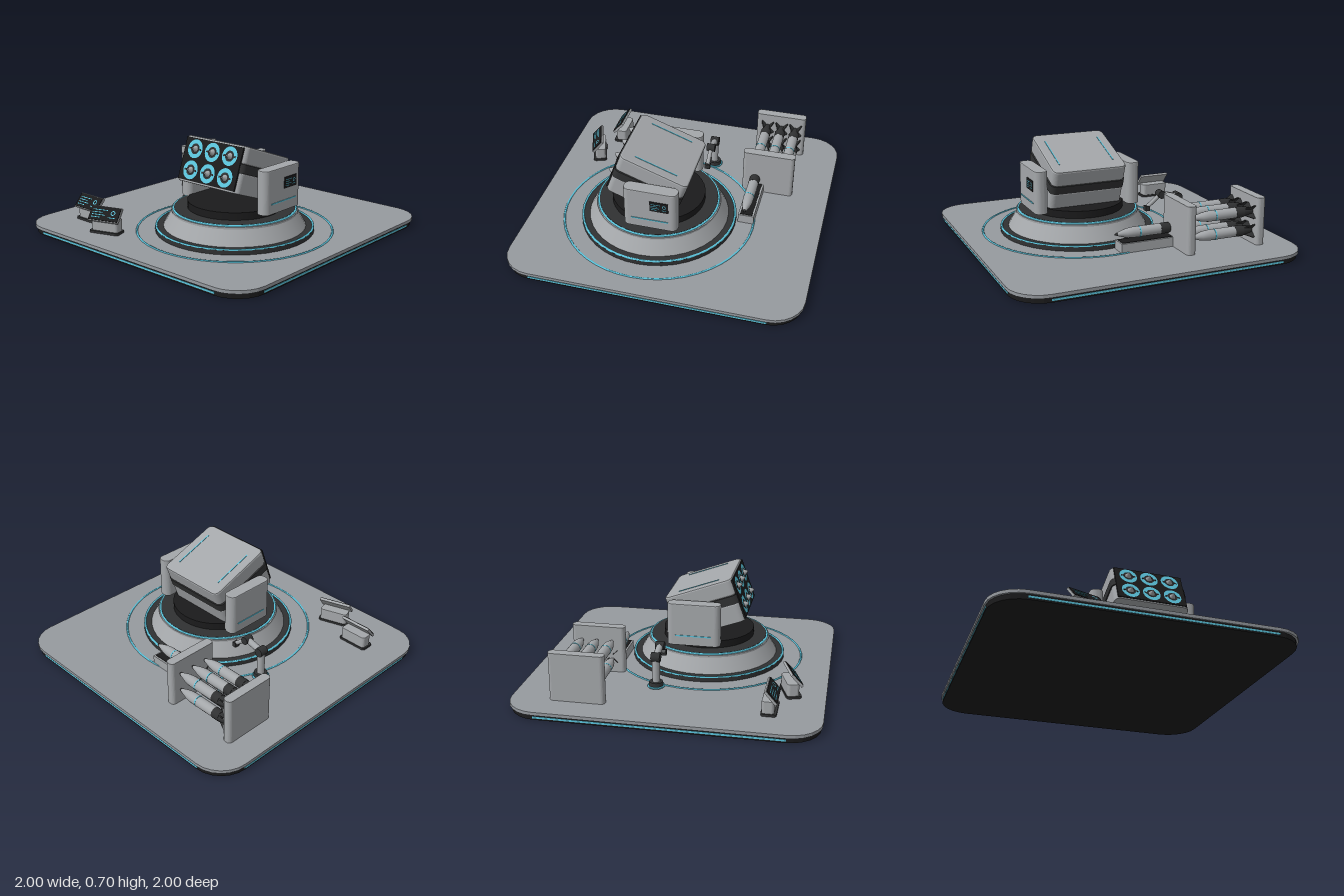
import * as THREE from 'three';

const mat = (name, color) => {
  const m = new THREE.MeshStandardMaterial({ color });
  m.name = name;
  return m;
};

export function createModel() {
  const deck = mat('deckGrey', 0x969a9f), grey = mat('lightGrey', 0xa4a7aa);
  const dark = mat('darkGrey', 0x303132), black = mat('black', 0x1b1b1c);
  const cyan = mat('cyan', 0x5cc6de);
  const root = new THREE.Group();
  root.name = 'launcherPlatform';

  const add = (parent, name, geo, material, x = 0, y = 0, z = 0) => {
    const m = new THREE.Mesh(geo, material);
    m.name = name;
    m.position.set(x, y, z);
    parent.add(m);
    return m;
  };
  const group = (parent, name, x = 0, y = 0, z = 0) => {
    const g = new THREE.Group();
    g.name = name;
    g.position.set(x, y, z);
    parent.add(g);
    return g;
  };
  const box = (w, h, d) => new THREE.BoxGeometry(w, h, d);
  const cyl = (rt, rb, h, n = 40) => new THREE.CylinderGeometry(rt, rb, h, n);

  // Slab with rounded plan corners, standing on y = 0
  const slab = (w, h, d, r, bevel = 0, seg = 3) => {
    const s = new THREE.Shape(), a = w / 2 - r, b = d / 2 - r;
    s.absarc(a, b, r, 0, Math.PI / 2);
    s.absarc(-a, b, r, Math.PI / 2, Math.PI);
    s.absarc(-a, -b, r, Math.PI, Math.PI * 1.5);
    s.absarc(a, -b, r, Math.PI * 1.5, Math.PI * 2);
    const g = new THREE.ExtrudeGeometry(s, {
      depth: h - 2 * bevel, curveSegments: seg, bevelEnabled: bevel > 0,
      bevelSize: bevel, bevelThickness: bevel, bevelOffset: -bevel, bevelSegments: 2,
    });
    return g.translate(0, 0, bevel).rotateX(-Math.PI / 2);
  };
  const flatRing = (radius, tube) => new THREE.TorusGeometry(radius, tube, 6, 48).rotateX(Math.PI / 2);

  // Cylinder strut between two points
  const strut = (parent, name, a, b, r, material) => {
    const p = new THREE.Vector3(...a), q = new THREE.Vector3(...b), dir = q.clone().sub(p);
    const m = add(parent, name, cyl(r, r, dir.length(), 14), material);
    m.position.copy(p).add(q).multiplyScalar(0.5);
    m.quaternion.setFromUnitVectors(new THREE.Vector3(0, 1, 0), dir.normalize());
  };

  // Display facing +z with a few readout marks
  const display = (parent, w, h, x, y, z) => {
    const g = group(parent, 'display', x, y, z);
    add(g, 'displayPanel', box(w, h, 0.006), black);
    [0.5, 0.35, 0.45, 0.3].forEach((len, i) =>
      add(g, 'readoutLine', box(w * len, h * 0.05, 0.002), cyan,
        w * (-0.42 + len / 2), h * (0.25 - i * 0.18), 0.004));
    add(g, 'readoutDial', new THREE.RingGeometry(h * 0.11, h * 0.17, 16), cyan, w * 0.28, h * 0.1, 0.004);
    add(g, 'readoutBar', box(w * 0.25, h * 0.05, 0.002), cyan, w * 0.28, -h * 0.25, 0.004);
    return g;
  };

  // Ground platform
  add(root, 'platformBase', slab(1.98, 0.035, 1.98, 0.21), black);
  add(root, 'platformDeck', slab(2, 0.022, 2, 0.21), deck, 0, 0.034, 0);
  for (let i = 0; i < 4; i++) {
    const side = group(root, 'platformSide');
    side.rotation.y = i * Math.PI / 2;
    add(side, 'platformStripe', box(1.58, 0.012, 0.008), cyan, 0, 0.017, 0.989);
  }

  // Round turret base
  const turret = group(root, 'turret', 0.19, 0, 0.125);
  add(turret, 'deckRing', flatRing(0.664, 0.007), cyan, 0, 0.056, 0);
  add(turret, 'lowerDisc', cyl(0.54, 0.54, 0.032), dark, 0, 0.071, 0);
  add(turret, 'lowerRing', flatRing(0.532, 0.008), cyan, 0, 0.086, 0);
  add(turret, 'turretSkirt', cyl(0.425, 0.485, 0.105), grey, 0, 0.138, 0);
  add(turret, 'skirtLip', cyl(0.43, 0.43, 0.014), grey, 0, 0.194, 0);
  add(turret, 'upperDisc', cyl(0.41, 0.41, 0.014), dark, 0, 0.205, 0);
  add(turret, 'upperRing', flatRing(0.415, 0.008), cyan, 0, 0.205, 0);
  add(turret, 'turntable', cyl(0.32, 0.32, 0.055), black, 0, 0.235, 0);

  // Side arms with light strips
  for (const s of [-1, 1]) {
    const arm = group(turret, s > 0 ? 'leftArm' : 'rightArm', s * 0.335, 0.245, -0.047);
    add(arm, 'armBody', slab(0.092, 0.295, 0.365, 0.04, 0.006, 5), grey);
    add(arm, 'armStrip', box(0.006, 0.008, 0.25), cyan, s * 0.047, 0.07, 0);
    if (s > 0) display(arm, 0.125, 0.075, 0.048, 0.188, -0.065).rotation.y = Math.PI / 2;
  }
  add(turret, 'tiltAxle', cyl(0.06, 0.06, 0.62, 24).rotateZ(Math.PI / 2), dark, 0, 0.44, 0);

  // Tilted launcher pod
  const pod = group(turret, 'launcherPod', 0, 0.471, 0.01);
  pod.rotation.x = -20 * Math.PI / 180;
  add(pod, 'lowerShell', slab(0.53, 0.136, 0.488, 0.04, 0.008, 5), grey, 0, -0.155, 0);
  add(pod, 'podBand', slab(0.54, 0.06, 0.494, 0.042, 0, 5), dark, 0, -0.02, 0);
  add(pod, 'upperShell', slab(0.53, 0.116, 0.488, 0.04, 0.012, 5), grey, 0, 0.039, 0);
  add(pod, 'frontPanel', box(0.49, 0.285, 0.02), black, 0, 0, 0.24);
  for (const s of [-1, 1])
    add(pod, 'topStripe', box(0.008, 0.006, 0.3), cyan, s * 0.195, 0.155, 0);
  for (const x of [-0.15, 0, 0.15]) for (const y of [-0.071, 0.071]) {
    const tube = group(pod, 'launchTube', x, y, 0.25);
    add(tube, 'tubeRim', new THREE.RingGeometry(0.036, 0.063, 28), cyan, 0, 0, 0.003);
    add(tube, 'tubeMouth', new THREE.CircleGeometry(0.037, 24), dark, 0, 0, 0.002);
    add(tube, 'warheadTip', cyl(0.006, 0.024, 0.03, 16).rotateX(Math.PI / 2), grey, 0, 0, 0.016);
    for (const s of [-1, 1]) add(tube, 'rimNotch', box(0.018, 0.012, 0.004), dark, s * 0.042, 0, 0.003);
  }

  // Missile pointing along +x, origin at the tail
  const bodyProfile = [[0.036, 0.13], [0.036, 0.34], [0.03, 0.385], [0.012, 0.445]];
  const finShape = new THREE.Shape([[0, 0.02], [0, 0.062], [0.018, 0.062], [0.07, 0.034], [0.07, 0.02]]
    .map(p => new THREE.Vector2(...p)));
  const missile = (parent, x, y, z) => {
    const g = group(parent, 'missile', x, y, z);
    const along = geo => geo.rotateZ(-Math.PI / 2);
    add(g, 'missileBody', along(new THREE.LatheGeometry(bodyProfile.map(p => new THREE.Vector2(...p)), 18)), grey);
    add(g, 'missileTail', along(cyl(0.037, 0.037, 0.06, 18)), dark, 0.11, 0, 0);
    add(g, 'missileNozzle', along(cyl(0.035, 0.022, 0.07, 18)), dark, 0.045, 0, 0);
    add(g, 'missileBand', along(cyl(0.0375, 0.0375, 0.008, 18)), cyan, 0.29, 0, 0);
    add(g, 'missileTip', along(cyl(0.004, 0.012, 0.02, 12)), dark, 0.455, 0, 0);
    for (let i = 0; i < 4; i++) {
      const fin = new THREE.ExtrudeGeometry(finShape, { depth: 0.006, bevelEnabled: false });
      add(g, 'missileFin', fin.translate(0, 0, -0.003), dark).rotation.x = Math.PI / 4 + i * Math.PI / 2;
    }
  };

  // Storage rack and loading tray
  const rack = group(root, 'missileRack');
  for (const x of [-0.778, -0.262])
    add(rack, 'rackWall', slab(0.064, 0.325, 0.365, 0.025, 0, 5), grey, x, 0.055, -0.558);
  for (const z of [-0.67, -0.565, -0.46]) for (const y of [0.15, 0.28]) missile(rack, -0.75, y, z);
  const tray = group(root, 'loadingTray', -0.06, 0.055, -0.48);
  add(tray, 'trayBody', box(0.4, 0.065, 0.11), grey, 0, 0.032, 0);
  add(tray, 'trayBed', box(0.36, 0.006, 0.085), black, 0.01, 0.065, 0);
  missile(tray, -0.24, 0.115, 0.01);

  // Loading robot arm
  const robot = group(root, 'loadingArm', -0.475, 0.055, -0.115);
  add(robot, 'armFootRing', flatRing(0.053, 0.006), cyan, 0, 0.01, 0);
  add(robot, 'armFoot', cyl(0.045, 0.052, 0.04, 24), dark, 0, 0.02, 0);
  strut(robot, 'armColumn', [0, 0.03, 0], [0, 0.2, 0], 0.026, grey);
  strut(robot, 'upperLink', [0, 0.21, 0], [0.13, 0.24, 0], 0.023, grey);
  strut(robot, 'foreLink', [0.13, 0.24, 0], [0.23, 0.16, 0], 0.015, grey);
  [[0, 0.21, 0.032], [0.13, 0.24, 0.028]].forEach(([x, y, r]) =>
    add(robot, 'armJoint', cyl(r, r, 0.06, 20).rotateX(Math.PI / 2), dark, x, y, 0));
  add(robot, 'gripper', box(0.03, 0.035, 0.04), dark, 0.235, 0.15, 0);

  // Control consoles
  for (const [x, z, turn] of [[-0.67, 0.66, 0], [-0.39, 0.765, 0.32]]) {
    const c = group(root, 'console', x, 0.055, z);
    c.rotation.y = turn;
    add(c, 'consoleFoot', slab(0.22, 0.016, 0.1, 0.02), dark);
    add(c, 'consolePedestal', slab(0.2, 0.085, 0.08, 0.02, 0.004), grey, 0, 0.012, -0.005);
    const head = group(c, 'consoleHead', 0, 0.127, 0.012);
    head.rotation.x = -0.72;
    add(head, 'headShell', box(0.23, 0.11, 0.016), grey);
    display(head, 0.22, 0.1, 0, 0, 0.01);
  }
  return root;
}
